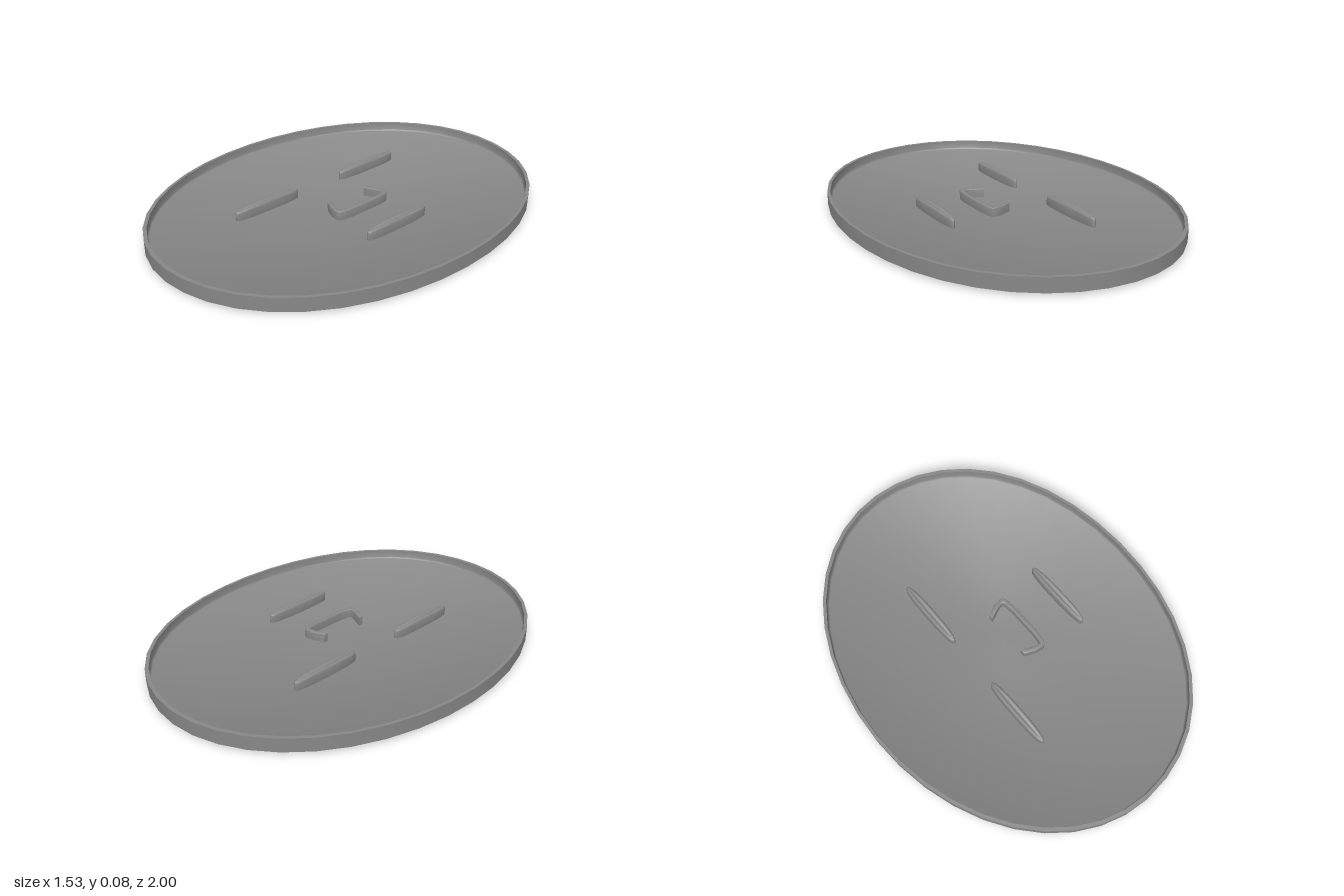
import * as THREE from 'three';
import { toCreasedNormals } from 'three/addons/utils/BufferGeometryUtils.js';

const material = new THREE.MeshStandardMaterial({ color: 0x888888 });

function addMesh(group, name, geometry) {
  const mesh = new THREE.Mesh(toCreasedNormals(geometry, 0.7), material);
  mesh.name = name;
  group.add(mesh);
  return mesh;
}

// Move every vertex of a geometry by a rule
function deform(geometry, rule) {
  const position = geometry.attributes.position;
  const v = new THREE.Vector3();
  for (let i = 0; i < position.count; i++) {
    rule(v.fromBufferAttribute(position, i));
    position.setXYZ(i, v.x, v.y, v.z);
  }
  return geometry;
}

// Extrude a plan outline (x, z) upwards from y0 to y1
function extrudeUp(points, y0, y1, bevel) {
  const shape = new THREE.Shape(points.map(([x, z]) => new THREE.Vector2(x, -z)));
  const geometry = new THREE.ExtrudeGeometry(shape, {
    depth: y1 - y0 - 2 * bevel, bevelEnabled: true, bevelSize: bevel,
    bevelThickness: bevel, bevelOffset: -bevel, bevelSegments: 3,
  });
  geometry.rotateX(-Math.PI / 2);
  return geometry.translate(0, y0 + bevel, 0);
}

export function createModel() {
  const group = new THREE.Group();

  // Oval tray: floor, upright rim and a small fillet inside
  const profile = [
    [0, 0.01], [1, 0.01], [1, 0.076], [0.982, 0.076],
    [0.982, 0.038], [0.98, 0.033], [0.975, 0.03], [0, 0.03],
  ].map(([r, y]) => new THREE.Vector2(r, y));
  const tray = new THREE.LatheGeometry(profile, 40);
  // The oval is slightly fuller on its +x side
  deform(tray, (v) => {
    const r2 = v.x * v.x + v.z * v.z;
    const fullness = v.x > 0 ? 0.015 : 0.004;
    const f = r2 > 0 ? 1 + fullness * (2 * v.x * v.z / r2) ** 2 : 1;
    v.x *= 0.765 * f;
    v.z *= f;
  });
  addMesh(group, 'tray', tray);

  // Three slim ribs with tapered ends and a gently arched, rounded top
  const outline = [];
  for (let i = 0; i < 32; i++) {
    const a = (i / 32) * Math.PI * 2;
    const c = Math.cos(a), s = Math.sin(a);
    outline.push([
      0.022 * Math.sign(c) * Math.abs(c) ** 0.75,
      0.183 * Math.sign(s) * Math.abs(s) ** 0.75,
    ]);
  }
  for (const [x, z] of [[-0.189, -0.32], [-0.189, 0.32], [0.346, 0]]) {
    const geometry = deform(extrudeUp(outline, 0.013, 0.081, 0.01), (v) => {
      if (v.y > 0.04) v.y -= 0.008 * (v.z / 0.183) ** 4;
    });
    addMesh(group, 'rib', geometry).position.set(x, 0, z);
  }

  // Open bracket through the floor, mirrored about z = 0
  const outer = [[0.02, 0.128], [0.073, 0.152], [0.112, 0.158], [0.129, 0.153], [0.138, 0.13], [0.143, 0.075]];
  const inner = [[0.122, 0.075], [0.117, 0.125], [0.112, 0.134], [0.102, 0.137], [0.078, 0.13], [0.02, 0.104]];
  const flip = (points) => points.map(([x, z]) => [x, -z]).reverse();
  const bracket = [...outer, ...flip(outer), ...flip(inner), ...inner];
  addMesh(group, 'bracket', extrudeUp(bracket, 0, 0.074, 0.004));

  return group;
}
